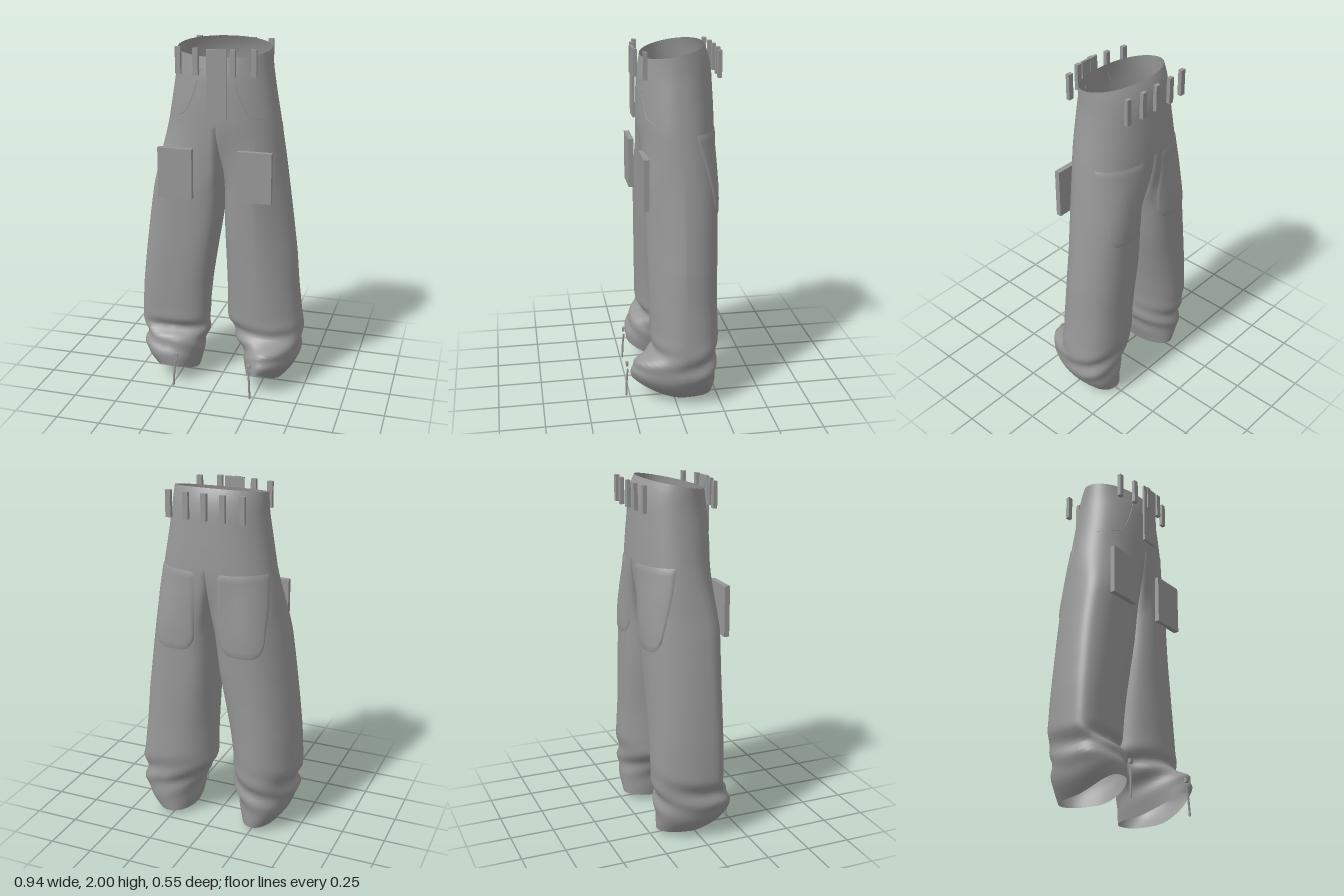
import * as THREE from 'three';
import { mergeVertices } from 'three/addons/utils/BufferGeometryUtils.js';

const CROTCH = 1.57, TOP = 1.965, HEM = 0.03;
const { smoothstep, lerp } = THREE.MathUtils;

// Rows: height, inner x, outer x, back z, front z
const HIP = [
  [1.965, 0, 0.262, -0.2, 0.142], [1.92, 0, 0.265, -0.222, 0.15],
  [1.85, 0, 0.27, -0.24, 0.16], [1.7, 0, 0.293, -0.25, 0.165], [1.57, 0, 0.315, -0.255, 0.165],
];
// Each leg: rows, z of its widest point, fold phase,
// and corner exponents [thigh, hem] for inside, outer front and outer back (small is square)
const LEFT = { mid: -0.05, phase: 1.2, inside: [0.65, 1.05], front: [1.3, 1.05], back: [0.88, 0.75], rows: [...HIP,
  [1.4, 0.012, 0.34, -0.258, 0.155], [1.2, 0.015, 0.367, -0.253, 0.148], [1.0, 0.015, 0.395, -0.25, 0.142],
  [0.8, 0.018, 0.42, -0.248, 0.138], [0.6, 0.02, 0.435, -0.245, 0.135], [0.42, 0.02, 0.455, -0.25, 0.13],
  [0.36, 0.022, 0.468, -0.245, 0.135], [0.28, 0.07, 0.455, -0.23, 0.165], [0.2, 0.12, 0.46, -0.233, 0.22],
  [0.1, 0.135, 0.42, -0.228, 0.252], [0.03, 0.15, 0.36, -0.22, 0.245],
] };
const RIGHT = { mid: 0.03, phase: -1.2, inside: [0.65, 0.95], front: [0.8, 0.62], back: [0.95, 0.95], rows: [...HIP,
  [1.4, -0.014, 0.35, -0.258, 0.165], [1.28, -0.017, 0.373, -0.256, 0.162], [1.18, -0.005, 0.393, -0.254, 0.16],
  [1.0, 0.015, 0.42, -0.25, 0.155], [0.8, 0.045, 0.445, -0.245, 0.15], [0.6, 0.07, 0.465, -0.245, 0.145],
  [0.42, 0.085, 0.475, -0.245, 0.14], [0.36, 0.085, 0.475, -0.24, 0.145], [0.28, 0.09, 0.443, -0.228, 0.165],
  [0.2, 0.11, 0.455, -0.225, 0.19], [0.1, 0.13, 0.42, -0.218, 0.212], [0.03, 0.15, 0.365, -0.21, 0.205],
] };

function lookUp(rows, y) {
  let i = 0;
  while (i < rows.length - 2 && y < rows[i + 1][0]) i++;
  const t = (rows[i][0] - y) / (rows[i][0] - rows[i + 1][0]);
  return rows[i].map((v, k) => v + (rows[i + 1][k] - v) * t);
}

// Row values softened over a short span of height
function section(rows, y) {
  const h = Math.max(0, Math.min(0.025, y - HEM, TOP - y));
  const a = lookUp(rows, y - h), b = lookUp(rows, y), c = lookUp(rows, y + h);
  return b.map((v, k) => (a[k] + 2 * v + c[k]) / 4);
}

const power = (v, e) => Math.sign(v) * Math.pow(Math.abs(v), e);

// Cloth point: u 0..1 runs front seam, outside, back seam; 1..2 returns along the inside leg
function clothPoint(side, u, y) {
  const leg = side > 0 ? LEFT : RIGHT;
  const [, xin, xout, zb, zf] = section(leg.rows, y);

  // half oval of the hips
  const ha = Math.PI * (0.5 - u), cz = (zb + zf) / 2;
  const he = 0.96 - 0.08 * smoothstep(TOP - y, 0, 0.4);
  const hx = u <= 1 ? xout * power(Math.max(0, Math.cos(ha)), he) : 0;
  const hz = u <= 1 ? cz + (zf - zb) / 2 * power(Math.sin(ha), he) : zb + (zf - zb) * (u - 1);

  // closed ring of the leg, with folds gathering above the hem
  const a = u <= 1 ? Math.PI * (0.75 - 1.5 * u) : Math.PI * (-0.75 - 0.5 * (u - 1));
  const c = Math.cos(a), s = Math.sin(a);
  const corner = c < 0 ? leg.inside : s > 0 ? leg.front : leg.back;
  const e = lerp(corner[0], corner[1], smoothstep(1.0 - y, 0, 0.6));
  const gather = Math.exp(-(((y - 0.25) / 0.1) ** 2));
  const fold = 1 + 0.05 * gather * Math.sin(3 * a + leg.phase + y * 42);
  const pinch = 0.04 * Math.exp(-(((y - 0.32) / 0.04) ** 2)) * Math.max(0, Math.sin(a - 0.5));
  const lx = (xin + xout) / 2 + (xout - xin) / 2 * power(c, e) * fold;
  const lz = leg.mid + (s > 0 ? zf - leg.mid : leg.mid - zb) * power(s, e) * fold - pinch;

  const w = smoothstep(CROTCH - y, 0, 0.4);
  const x = hx + (lx - hx) * w, z = hz + (lz - hz) * w;

  // waist dips at the front, hem lifts at the front
  const dip = -0.19 * (z + 0.015) * smoothstep(y, 1.7, TOP);
  const lift = 0.11 * Math.max(0, 1 - (y - HEM) / 0.36) * Math.min(1.1, Math.max(0, (z + 0.04) / 0.28) ** 1.6);
  return new THREE.Vector3(side * x, y + dip + lift, z);
}

// Point lifted slightly off the cloth
function raisedPoint(side, u, y, offset) {
  const d = 0.004, p = clothPoint(side, u, y);
  const du = clothPoint(side, u + d, y).sub(clothPoint(side, u - d, y));
  const dy = clothPoint(side, u, y + d).sub(clothPoint(side, u, y - d));
  return p.addScaledVector(du.cross(dy).normalize(), side * offset);
}

// Adds a grid of quads facing outward on either side
function addGrid(pos, idx, cols, rows, side, pointAt, keep = () => true) {
  const base = pos.length / 3;
  for (let j = 0; j <= rows; j++) for (let i = 0; i <= cols; i++) pos.push(...pointAt(i, j).toArray());
  for (let j = 0; j < rows; j++) for (let i = 0; i < cols; i++) {
    if (!keep(i, j)) continue;
    const d = base + j * (cols + 1) + i, c = d + 1, a = d + cols + 1, b = a + 1;
    if (side > 0) idx.push(a, b, d, b, c, d);
    else idx.push(a, d, b, b, d, c);
  }
}

function toGeometry(pos, idx) {
  let g = new THREE.BufferGeometry();
  g.setAttribute('position', new THREE.Float32BufferAttribute(pos, 3));
  g.setIndex(idx);
  g = mergeVertices(g, 1e-5);
  g.computeVertexNormals();
  return g;
}

export function createModel() {
  const model = new THREE.Group();
  model.name = 'trousers';
  const cloth = new THREE.MeshStandardMaterial({ color: 0x979797, side: THREE.DoubleSide });
  cloth.name = 'greyCloth';

  const add = (name, geometry) => {
    const mesh = new THREE.Mesh(geometry, cloth);
    mesh.name = name;
    model.add(mesh);
    return mesh;
  };
  const box = (name, w, h, d, x, y, z) => add(name, new THREE.BoxGeometry(w, h, d)).position.set(x, y, z);

  // Hips and both legs as one open skin
  const OUT = 48, IN = 16, HIPS = 14, LEGS = 80, pos = [], idx = [];
  for (const side of [1, -1]) {
    addGrid(pos, idx, OUT + IN, HIPS + LEGS, side, (i, j) => {
      const u = i <= OUT ? i / OUT : 1 + (i - OUT) / IN;
      const y = j <= HIPS ? TOP + (CROTCH - TOP) * j / HIPS : CROTCH + (HEM - CROTCH) * (j - HIPS) / LEGS;
      return clothPoint(side, u, y);
    }, (i, j) => i < OUT || j >= HIPS);
  }
  add('trouserBody', toGeometry(pos, idx));

  for (const side of [1, -1]) {
    const label = side > 0 ? 'left' : 'right';

    // Back patch pocket, slanting inward to rounded lower corners
    const pp = [], pi = [], n = 20;
    addGrid(pp, pi, n, n, side, (i, j) => {
      const s = i / n, v = j / n, edge = i === 0 || j === 0 || i === n || j === n;
      const low = 1.09 + 0.09 * Math.abs(2 * s - 1) ** 4, outer = 0.58 + 0.11 * v;
      return raisedPoint(side, outer + (0.95 - outer) * s, 1.56 + (low - 1.56) * v, edge ? -0.002 : 0.005);
    });
    add(label + 'BackPocket', toGeometry(pp, pi));

    // Curved seam of the front pocket
    const seam = [[0.1, 1.9], [0.12, 1.8], [0.14, 1.72], [0.19, 1.63], [0.25, 1.61], [0.38, 1.6]]
      .map(([u, y]) => raisedPoint(side, u, y, 0));
    add(label + 'FrontPocketSeam', new THREE.TubeGeometry(new THREE.CatmullRomCurve3(seam), 24, 0.002, 5));

    // Flat pocket on the thigh
    box(label + 'ThighPocket', 0.195, 0.285, 0.03, side > 0 ? 0.217 : -0.225, 1.293, side > 0 ? 0.155 : 0.18);

    // Hem toggle and hanging cord
    const tx = side > 0 ? 0.22 : -0.227, tz = side > 0 ? 0.262 : 0.228;
    box(label + 'HemToggle', 0.023, 0.023, 0.014, tx, 0.2, tz);
    const cord = new THREE.CatmullRomCurve3([
      new THREE.Vector3(tx, 0.165, tz - 0.002), new THREE.Vector3(tx + side * 0.006, 0.1, tz + 0.004),
      new THREE.Vector3(tx + side * 0.011, 0.003, tz + 0.008),
    ]);
    add(label + 'HemCord', new THREE.TubeGeometry(cord, 12, 0.006, 6));
  }

  // Fly panel and belt loops
  box('flyPanel', 0.112, 0.375, 0.013, 0.015, 1.797, 0.188);
  const loops = [[-0.21, 0.147], [-0.105, 0.172], [0, 0.19], [0.102, 0.185], [0.207, 0.145],
    [-0.21, -0.252], [-0.105, -0.263], [0, -0.263], [0.103, -0.263], [0.207, -0.252]];
  for (const [x, z] of loops) box('beltLoop', 0.03, 0.145, 0.022, x, 1.913, z);

  return model;
}
